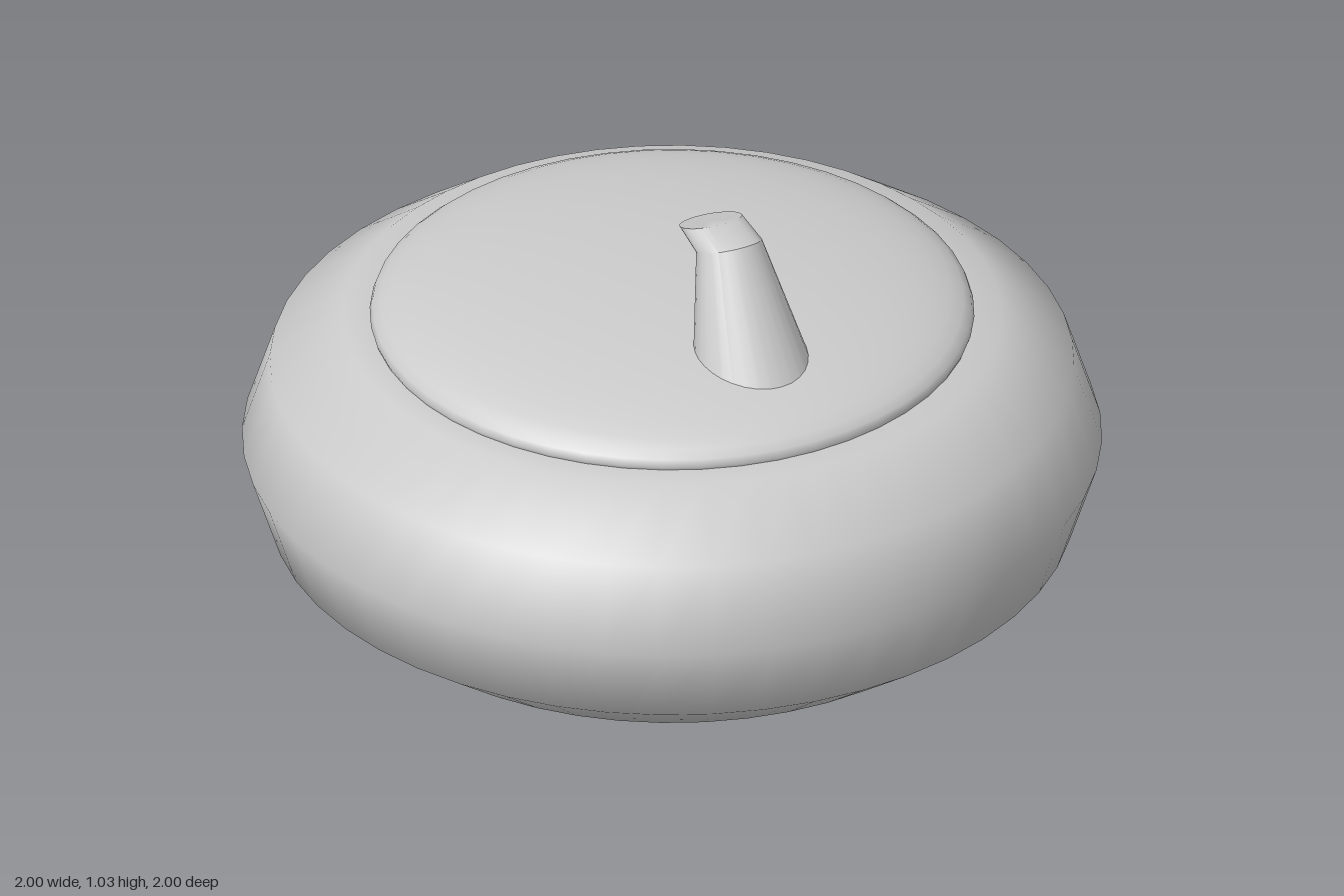
import * as THREE from 'three';
import { toCreasedNormals } from 'three/addons/utils/BufferGeometryUtils.js';

const material = new THREE.MeshStandardMaterial({ color: 0xcccccc });

function addPart(group, name, geometry) {
  const mesh = new THREE.Mesh(geometry, material);
  mesh.name = name;
  group.add(mesh);
  return mesh;
}

// Tapered bent grip: a cylinder whose rings are moved onto tilted circles
function handleGeometry() {
  // from the tip down: centre y, centre z, radius, backward tilt
  const rings = [
    { y: 1.004, z: 0.19, r: 0.074, tilt: 0.36 },
    { y: 0.983, z: 0.28, r: 0.078, tilt: 0.42 },
    { y: 0.46, z: 0.49, r: 0.195, tilt: 0.4 },
  ];
  const geometry = new THREE.CylinderGeometry(1, 1, 2, 32, 2);
  const p = geometry.attributes.position;
  for (let i = 0; i < p.count; i++) {
    const ring = rings[Math.round(1 - p.getY(i))];
    const across = p.getX(i) * ring.r;
    const along = p.getZ(i) * ring.r;
    p.setXYZ(i, across, ring.y + along * Math.sin(ring.tilt), ring.z + along * Math.cos(ring.tilt));
  }
  return toCreasedNormals(geometry, 0.6);
}

export function createModel() {
  const group = new THREE.Group();
  group.name = 'curlingStone';

  // Ring-shaped stone, ten-sided in section, with an open centre underneath
  const stone = addPart(group, 'stoneBody', new THREE.TorusGeometry(0.66, 0.34, 10, 48));
  stone.rotation.x = Math.PI / 2;
  stone.position.y = 0.323;

  // Flattened dome closing the top
  const lid = addPart(group, 'lid', new THREE.SphereGeometry(1, 48, 24));
  lid.scale.set(0.703, 0.125, 0.703);
  lid.position.y = 0.655;

  // Handle leaning back over the lid, its foot sunk into the stone
  addPart(group, 'handle', handleGeometry());

  return group;
}
